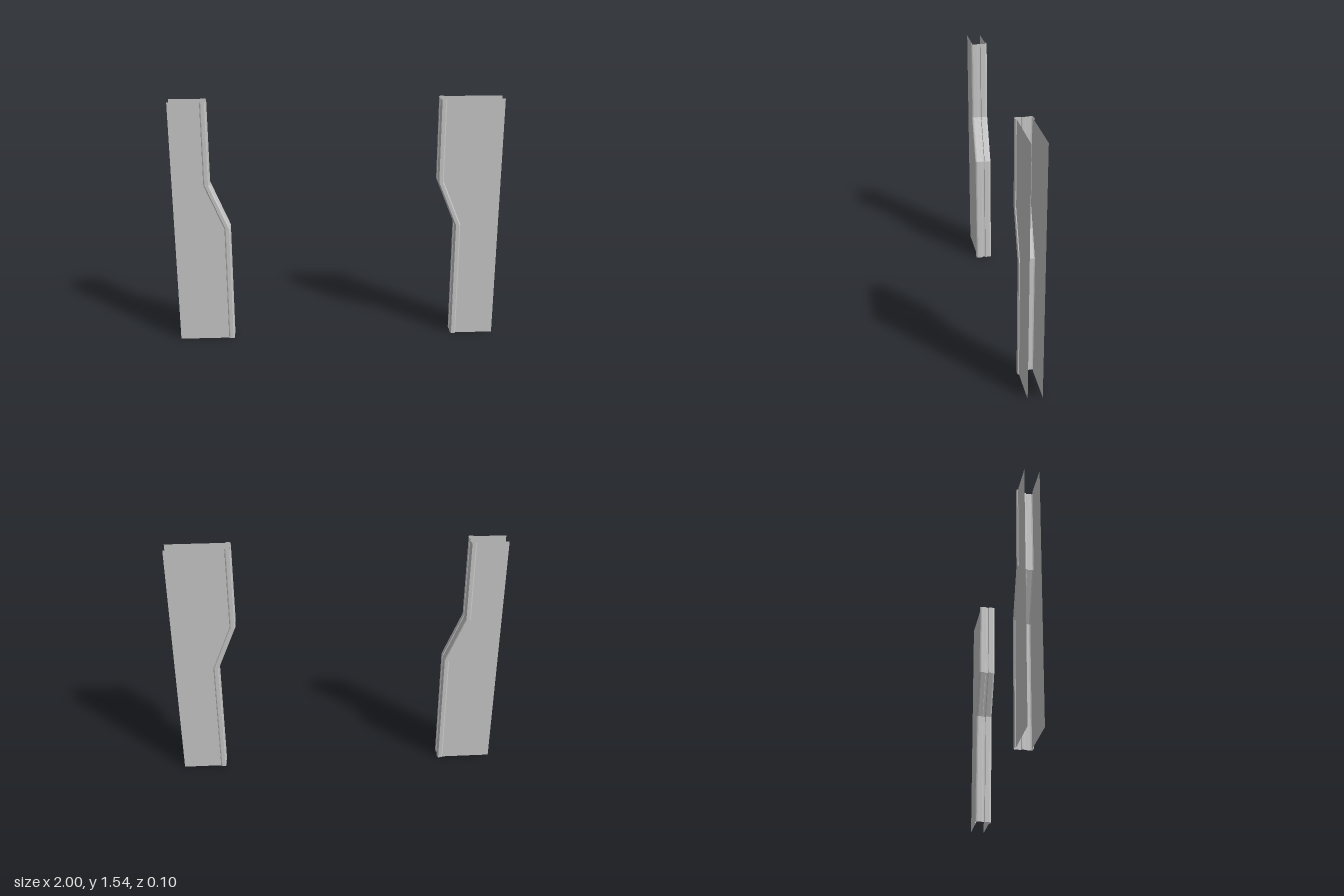
import * as THREE from 'three';

const material = new THREE.MeshStandardMaterial({ color: 0xcccccc, flatShading: true, side: THREE.DoubleSide });

// Inner edge of each jamb: heights and the sideways shift at each height
const HEIGHTS = [0, 0.745, 1.027, 1.54];
const SHIFT = [0.115, 0.115, 0, 0];

// Half of the trim cross-section: [depth into the wall, z], from centre groove to flange lip
const HALF = [
  [0.006, 0.006], [0.005, 0.009], [0, 0.011], [0, 0.04], [0.002, 0.047],
  [0.006, 0.052], [0.027, 0.052], [0.033, 0.049], [0.035, 0.0435],
];
const PROFILE = [...HALF.map(([d, z]) => [d, -z]).reverse(), ...HALF];

// Thin trim swept up the cranked edge
function trimGeometry(edgeX, side) {
  const positions = [];
  const index = [];
  const n = PROFILE.length;
  HEIGHTS.forEach((y, i) => {
    for (const [d, z] of PROFILE) positions.push(edgeX + SHIFT[i] + side * d, y, z);
  });
  for (let i = 0; i < HEIGHTS.length - 1; i++) {
    for (let j = 0; j < n - 1; j++) {
      const a = i * n + j, b = a + 1, c = a + n, d = c + 1;
      if (side > 0) index.push(a, b, d, a, d, c);
      else index.push(a, d, b, a, c, d);
    }
  }
  const geometry = new THREE.BufferGeometry();
  geometry.setAttribute('position', new THREE.Float32BufferAttribute(positions, 3));
  geometry.setIndex(index);
  geometry.computeVertexNormals();
  return geometry;
}

// Flat wall sheet whose inner edge is tucked under the trim flange
function sheetGeometry(edgeX, side) {
  const points = HEIGHTS.map((y, i) => new THREE.Vector2(edgeX + SHIFT[i] + side * 0.02, y));
  points.push(new THREE.Vector2(side, 1.54), new THREE.Vector2(side, 0));
  return new THREE.ShapeGeometry(new THREE.Shape(points));
}

function createJamb(name, edgeX, side) {
  const jamb = new THREE.Group();
  jamb.name = name;
  const add = (part, geometry, z = 0) => {
    const mesh = new THREE.Mesh(geometry, material);
    mesh.name = part;
    mesh.position.z = z;
    jamb.add(mesh);
  };
  add('edgeTrim', trimGeometry(edgeX, side));
  add('frontWallSheet', sheetGeometry(edgeX, side), 0.0435);
  add('backWallSheet', sheetGeometry(edgeX, side), -0.0435);
  return jamb;
}

export function createModel() {
  const model = new THREE.Group();
  model.name = 'crankedDoorway';
  // Both edges crank the same way, so the opening keeps its width
  model.add(createJamb('leftJamb', 0.615, 1), createJamb('rightJamb', -0.775, -1));
  return model;
}
